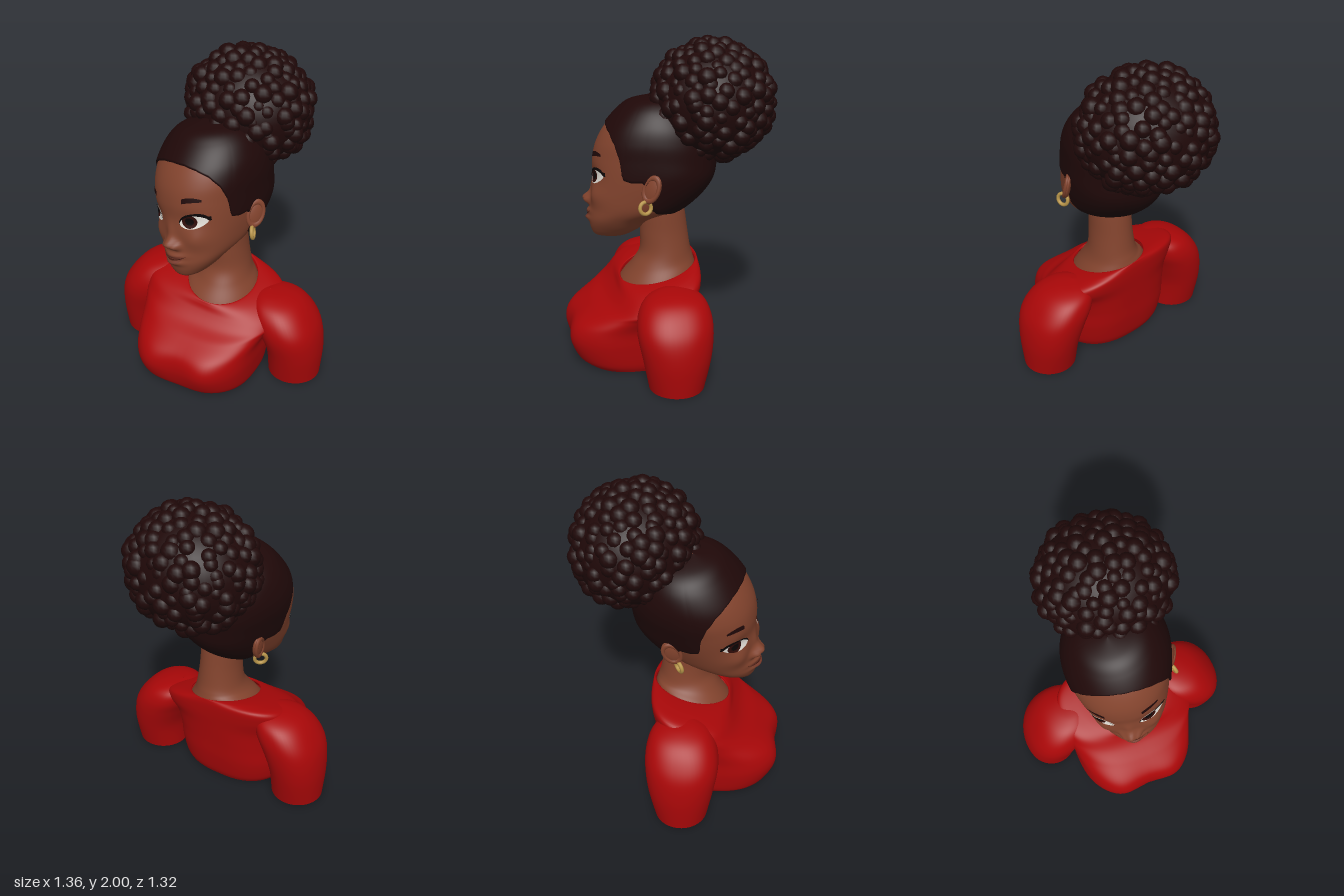
import * as THREE from 'three';
import { mergeGeometries } from 'three/addons/utils/BufferGeometryUtils.js';

const mat = (name, color, side = THREE.FrontSide) => {
  const m = new THREE.MeshStandardMaterial({ color, side });
  m.name = name;
  return m;
};
const { clamp } = THREE.MathUtils;
const bell = (a, b) => Math.exp(-a * a - b * b);
const spow = (v, e) => Math.sign(v) * Math.abs(v) ** e;

// Cross-sections: [y, front z, back z, half width, roundness, centre x, tilt]
const pad = rows => rows.map(r => [...r, ...[2.2, 0, 0].slice(r.length - 4)]);

// Smooth interpolation between cross-sections
function sample(keys, t) {
  const n = keys.length - 1, i = clamp(Math.floor(t), 0, n - 1), f = t - i;
  const [a, b, c, d] = [i - 1, i, i + 1, i + 2].map(k => keys[clamp(k, 0, n)]);
  return b.map((_, k) => b[k] + 0.5 * f * (c[k] - a[k] + f * (2 * a[k] - 5 * b[k] + 4 * c[k] - d[k]
    + f * (3 * (b[k] - c[k]) + d[k] - a[k]))));
}

// Point on a cross-section; angle 0 is the front, growing towards +x
function ringPoint(keys, t, a, bump) {
  const [y, zf, zb, w, n, cx, tilt] = sample(keys, t);
  const c = spow(Math.cos(a), 2 / n), x = cx + w * spow(Math.sin(a), 2 / n);
  let z = (zf + zb) / 2 + (zf - zb) / 2 * c;
  if (bump && c > 0) z += bump(x, y) * Math.min(1, 2 * c);
  return [x, y - tilt * (0.24 * z + 0.12 * x), z];
}

// Grid surface from a rule, closed around u if wrap is set
function grid(nu, nv, fn, wrap) {
  const pos = [], idx = [], cols = wrap ? nu : nu + 1;
  for (let j = 0; j <= nv; j++) for (let i = 0; i < cols; i++) pos.push(...fn(i / nu, j / nv));
  for (let j = 0; j < nv; j++) for (let i = 0; i < nu; i++) {
    const k = (i + 1) % cols, a = j * cols + i, b = j * cols + k, c = b + cols, d = a + cols;
    idx.push(a, b, c, a, c, d);
  }
  const g = new THREE.BufferGeometry();
  g.setAttribute('position', new THREE.Float32BufferAttribute(pos, 3));
  g.setIndex(idx);
  g.computeVertexNormals();
  return g;
}
const loft = (keys, nu, nv, bump) =>
  grid(nu, nv, (u, v) => ringPoint(keys, v * (keys.length - 1), u * Math.PI * 2, bump), true);

// Flat underside closing the first cross-section
const bottomCap = (keys, nu, bump) => grid(nu, 1, (u, v) => {
  const p = ringPoint(keys, 0, u * Math.PI * 2, bump), cx = keys[0][5], cz = (keys[0][1] + keys[0][2]) / 2;
  return [cx + (p[0] - cx) * v, p[1], cz + (p[2] - cz) * v];
}, true);

const headKeys = pad([
  [-0.385, 0.36, 0.34, 0.002], [-0.375, 0.43, 0.25, 0.07], [-0.33, 0.458, 0.16, 0.13],
  [-0.27, 0.465, 0.08, 0.185], [-0.2, 0.458, -0.09, 0.23, 2.25], [-0.1, 0.452, -0.21, 0.262, 2.35],
  [0, 0.448, -0.28, 0.285, 2.35], [0.1, 0.45, -0.3, 0.3, 2.2], [0.2, 0.432, -0.3, 0.312, 2.1],
  [0.3, 0.382, -0.27, 0.3, 2.05], [0.4, 0.3, -0.2, 0.25, 2], [0.46, 0.22, -0.12, 0.165, 2], [0.49, 0.09, 0.05, 0.002, 2],
]);
const headTop = headKeys.length - 1;

// Nose, lips, cheeks and eye sockets
function faceBump(x, y) {
  const ax = Math.abs(x);
  return 0.058 * bell(x / 0.038, (y + 0.148) / 0.034) + 0.015 * bell(x / 0.034, (y + 0.08) / 0.06)
    + 0.034 * bell((ax - 0.047) / 0.025, (y + 0.16) / 0.024)
    + 0.026 * bell(x / 0.075, (y + 0.222) / 0.019) + 0.028 * bell(x / 0.065, (y + 0.268) / 0.02)
    + 0.02 * bell((ax - 0.17) / 0.06, (y + 0.12) / 0.06) - 0.016 * bell((ax - 0.135) / 0.06, y / 0.05);
}

// Section parameter at a given height of the head
function headT(y) {
  let lo = 0, hi = headTop;
  for (let i = 0; i < 24; i++) {
    const m = (lo + hi) / 2;
    if (sample(headKeys, m)[0] < y) lo = m; else hi = m;
  }
  return lo;
}
function faceZ(x, y) {
  const [, zf, zb, w, n] = sample(headKeys, headT(y));
  const c = (1 - Math.min(1, Math.abs(x / w)) ** n) ** (1 / n);
  return (zf + zb) / 2 + (zf - zb) / 2 * c + faceBump(x, y) * Math.min(1, 2 * c);
}

// Height of the hairline by angle from the front
const hairline = [[0, 0.322], [0.3, 0.315], [0.55, 0.293], [0.8, 0.255], [1.02, 0.19], [1.18, 0.1], [1.26, -0.01],
  [1.42, -0.025], [1.55, -0.02], [1.68, -0.1], [1.85, -0.18], [2.2, -0.215], [3.2, -0.225]];
function hairlineY(a) {
  const i = hairline.findIndex(h => h[0] > a), [p, q] = [hairline[i - 1], hairline[i]];
  return p[1] + (q[1] - p[1]) * (a - p[0]) / (q[0] - p[0]);
}

export function createModel() {
  const skin = mat('skin', 0x82432d), hair = mat('hair', 0x1f0808), shirt = mat('red shirt', 0xa80708, THREE.DoubleSide);
  const gold = mat('gold', 0xb8954a), white = mat('eye white', 0xe6e2da), iris = mat('iris', 0x300c08);
  const dark = mat('pupil', 0x0c0606), lip = mat('lips', 0x77392a), line = mat('mouth line', 0x43190f);
  const model = new THREE.Group();
  model.name = 'bust';
  const add = (parent, name, geo, material) => {
    const m = new THREE.Mesh(geo, material);
    m.name = name;
    parent.add(m);
    return m;
  };

  // Torso, turned towards the model's left, widening into the shoulders
  const torso = new THREE.Group();
  torso.name = 'torso';
  torso.position.z = 0.03;
  torso.rotation.y = 0.35;
  model.add(torso);
  const bust = (x, y) => 0.035 * bell((Math.abs(x + 0.03) - 0.2) / 0.13, (y - 0.19) / 0.15);
  const shirtKeys = pad([
    [0, 0.5, -0.15, 0.35, 2.6, -0.02], [0.05, 0.55, -0.17, 0.375, 2.7, -0.025], [0.17, 0.575, -0.19, 0.39, 2.8, -0.025],
    [0.29, 0.55, -0.2, 0.395, 2.7, -0.02, 0.1], [0.4, 0.455, -0.212, 0.425, 2.4, -0.01, 0.4],
    [0.48, 0.355, -0.222, 0.45, 2.6, 0, 0.8], [0.54, 0.3, -0.225, 0.425, 2.7, 0, 1], [0.574, 0.28, -0.222, 0.33, 2.3, 0.015, 1],
    [0.588, 0.27, -0.217, 0.228, 2, 0.026, 1], [0.578, 0.26, -0.207, 0.218, 2, 0.026, 1],
  ]);
  add(torso, 'shirtBody', loft(shirtKeys, 96, 72, bust), shirt);
  add(torso, 'shirtUnderside', bottomCap(shirtKeys, 96, bust), shirt);

  // Sleeves, the left shoulder a little lower
  for (const s of [-1, 1]) {
    const drop = s > 0 ? 0.91 : 1;
    const keys = pad([
      [0, 0.175, -0.155, 0.165, 2, 0.535], [0.2, 0.21, -0.195, 0.174, 2.1, 0.535], [0.36, 0.235, -0.215, 0.188, 2.2, 0.5],
      [0.47, 0.22, -0.212, 0.182, 2.3, 0.45], [0.55, 0.17, -0.18, 0.15, 2.2, 0.405], [0.59, 0.09, -0.11, 0.09, 2, 0.37],
      [0.603, 0, -0.01, 0.003, 2, 0.345],
    ]).map(k => [k[0] * drop, ...k.slice(1, 5), k[5] * s, 0]);
    const side = s > 0 ? 'left' : 'right';
    add(torso, side + 'Sleeve', loft(keys, 48, 36), shirt);
    add(torso, side + 'SleeveEnd', bottomCap(keys, 48), shirt);
  }

  // Neck, spreading under the collar
  add(torso, 'neck', loft(pad([
    [0.545, 0.275, -0.21, 0.228, 2, 0.028, 1], [0.58, 0.25, -0.2, 0.205, 2, 0.03, 1], [0.63, 0.19, -0.19, 0.165, 2, 0.035, 0.6],
    [0.7, 0.14, -0.175, 0.143, 2, 0.038, 0.2], [0.82, 0.137, -0.158, 0.13, 2, 0.038, 0], [0.95, 0.14, -0.14, 0.13, 2, 0.035, 0],
    [1.05, 0.13, -0.12, 0.13, 2, 0.03, 0],
  ]), 48, 40), skin);

  // Head, tilted to one side
  const head = new THREE.Group();
  head.name = 'head';
  head.position.set(0.003, 1.15, 0);
  head.rotation.set(0, 0.035, 0.165);
  model.add(head);
  const angle = u => { const t = (u * 2 - 1) * Math.PI; return t - 0.45 * Math.sin(t); };
  add(head, 'face', grid(150, 110, (u, v) => ringPoint(headKeys, v * headTop, angle(u), faceBump), true), skin);

  // Swept-up hair over the skull, ending at the hairline
  add(head, 'hairCap', grid(160, 48, (u, v) => {
    const a = angle(u), t0 = headT(hairlineY(Math.abs(a)));
    const p = new THREE.Vector3(...ringPoint(headKeys, t0 + (headTop - t0) * v, a));
    const out = p.clone().sub(new THREE.Vector3(0, 0.1, 0.07)).normalize();
    return p.addScaledVector(out, v === 0 ? -0.006 : 0.011).toArray();
  }, true), hair);

  // Thin plate laid on the face between two height curves; u runs -1 to 1
  const plate = (name, cx, hw, lo, hi, off, material) => add(head, name, grid(28, 8, (u, v) => {
    const k = u * 2 - 1, x = cx + k * hw, a = lo(k, x), y = a + (Math.max(a, hi(k, x)) - a) * v;
    return [x, y, faceZ(x, y) + off];
  }), material);

  for (const s of [-1, 1]) {
    const side = s > 0 ? 'left' : 'right', cx = s * 0.15, hw = 0.075;
    const arc = k => Math.max(0, 1 - k * k) ** 0.6;
    const top = x => { const k = (x - cx) / hw; return 0.046 * arc(k) + 0.012 * k * s; };
    const low = x => { const k = (x - cx) / hw; return -0.042 * arc(k) + 0.012 * k * s; };
    plate(side + 'EyeWhite', cx, hw, (k, x) => low(x), (k, x) => top(x), 0.005, white);
    const disc = (name, r, off, m) => plate(side + name, cx - 0.016, r,
      (k, x) => Math.max(low(x), 0.004 - r * Math.sqrt(Math.max(0, 1 - k * k))),
      (k, x) => Math.min(top(x), 0.004 + r * Math.sqrt(Math.max(0, 1 - k * k))), off, m);
    disc('Iris', 0.042, 0.0075, iris);
    disc('Pupil', 0.024, 0.009, dark);
    plate(side + 'Lashes', cx + s * 0.005, hw + 0.005, (k, x) => top(x) - 0.006,
      (k, x) => top(x) + 0.008 + 0.012 * Math.max(0, k * s), 0.0095, dark);
    plate(side + 'Eyebrow', s * 0.158, 0.05, k => 0.124 - 0.004 * k * k + 0.004 * k * s,
      k => 0.153 - 0.012 * k * k - 0.003 * k * s, 0.006, hair);

    // Ear with a raised rim, and a hoop earring
    const ear = new THREE.Group();
    ear.name = side + 'Ear';
    ear.position.set(s * 0.288, -0.05, 0.042);
    ear.rotation.set(-0.4, -0.4 * s, -0.12 * s);
    head.add(ear);
    add(ear, 'earBody', new THREE.SphereGeometry(1, 24, 16), skin).scale.set(0.022, 0.088, 0.056);
    const rim = add(ear, 'earRim', new THREE.TorusGeometry(0.045, 0.011, 10, 28).rotateY(Math.PI / 2), skin);
    rim.scale.set(1, 1.6, 1.05);
    rim.position.x = s * 0.012;
    const hoop = add(head, side + 'Earring', new THREE.TorusGeometry(0.036, 0.0115, 10, 28), gold);
    hoop.position.set(s * 0.29, -0.16, 0.08);
    hoop.rotation.y = Math.PI / 2 + 0.6 * s;
  }

  // Lips and a smiling mouth line
  const smile = k => -0.248 + 0.024 * k * k;
  plate('upperLip', 0, 0.09, smile, k => smile(k) + 0.028 * (1 - k * k), 0.003, lip);
  plate('lowerLip', 0, 0.082, k => smile(k) - 0.035 * (1 - k * k), smile, 0.003, lip);
  plate('mouthLine', 0, 0.11, k => smile(k * 1.2) - 0.004 * (1 - k * k), k => smile(k * 1.2) + 0.004 * (1 - k * k), 0.006, line);

  // Round bun covered in soft, uneven curls
  const bun = new THREE.Group();
  bun.name = 'bun';
  bun.position.set(-0.08, 1.615, -0.275);
  model.add(bun);
  const radii = new THREE.Vector3(0.392, 0.347, 0.358);
  add(bun, 'bunCore', new THREE.SphereGeometry(1, 40, 28), hair).scale.copy(radii);
  let seed = 7;
  const rnd = () => (seed = (seed * 16807) % 2147483647) / 2147483647;
  const curls = [], count = 250;
  for (let i = 0; i < count; i++) {
    const y = 1 - 2 * (i + 0.5) / count, r = Math.sqrt(1 - y * y), a = i * 2.39996 + (rnd() - 0.5) * 0.25;
    const p = new THREE.Vector3(r * Math.cos(a), y, r * Math.sin(a)).multiply(radii).multiplyScalar(0.91 + 0.06 * rnd());
    curls.push(new THREE.SphereGeometry(0.042 + 0.018 * rnd(), 12, 8).translate(p.x, p.y, p.z));
  }
  add(bun, 'curls', mergeGeometries(curls), hair);
  return model;
}
